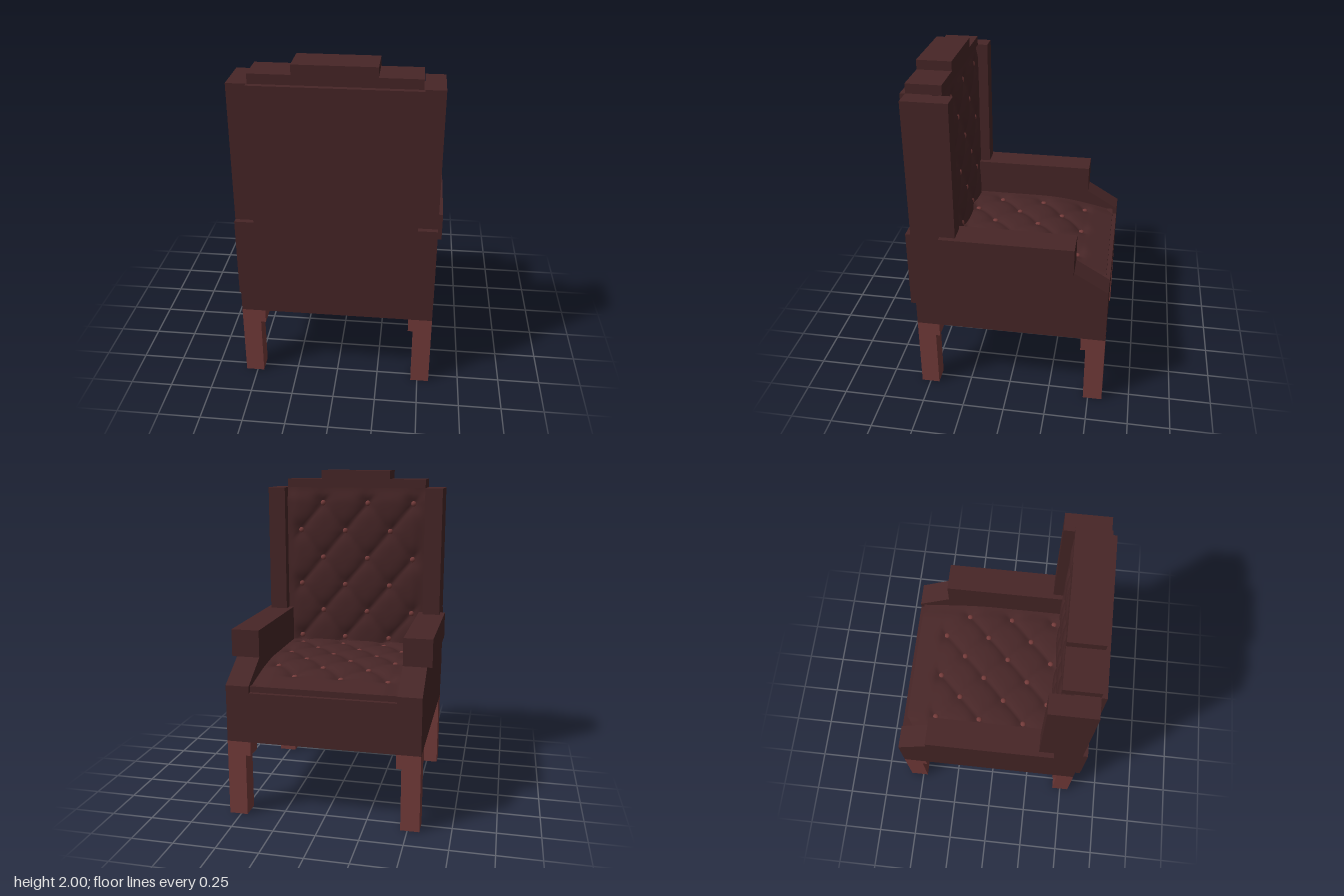
import * as THREE from 'three';

const fabric = new THREE.MeshStandardMaterial({ color: 0x472627 });
fabric.name = 'dark maroon upholstery';
const wood = new THREE.MeshStandardMaterial({ color: 0x743b3a });
wood.name = 'red brown wood';

// Box given by its min and max on each axis
function box(parent, name, mat, [x0, x1], [y0, y1], [z0, z1]) {
  const mesh = new THREE.Mesh(new THREE.BoxGeometry(x1 - x0, y1 - y0, z1 - z0), mat);
  mesh.position.set((x0 + x1) / 2, (y0 + y1) / 2, (z0 + z1) / 2);
  mesh.name = name;
  parent.add(mesh);
  return mesh;
}

// Same box on both sides of x = 0
function pair(parent, name, mat, [x0, x1], ys, zs) {
  box(parent, name + 'Left', mat, [x0, x1], ys, zs);
  box(parent, name + 'Right', mat, [-x1, -x0], ys, zs);
}

// Button lattice in cell units: six staggered rows of three
const buttons = [];
for (let row = 0; row < 6; row++) {
  for (let i = 0; i < 3; i++) buttons.push([(row % 2 ? -2.43 : -1.5) + 2 * i + (row % 2 ? 0.0 : 0.03), row]);
}
// Keep the columns exactly one cell apart
buttons.forEach((b) => { b[0] = Math.round(b[0] + 0.47) - 0.47; });

const fade = (t) => THREE.MathUtils.smoothstep(t, 0, 1);

// Tufted relief: creases along the diamonds, dimples at the buttons
function tuft(c, r) {
  const a = (c + 0.47 + r) / 2 + 0.5, b = (c + 0.47 - r) / 2 + 0.5;
  const da = Math.abs(a - Math.round(a)), db = Math.abs(b - Math.round(b));
  const mask = fade((2.95 - Math.abs(c - 0.03)) / 0.5) * fade((r + 0.4) / 0.4) * fade((5.4 - r) / 0.4);
  let h = -0.016 * mask * Math.max(Math.exp(-da * 7), Math.exp(-db * 7));
  for (const [bc, br] of buttons) h -= 0.014 * Math.exp(-((c - bc) ** 2 + (r - br) ** 2) * 9);
  return h;
}

// Cushion surface in its own x / y plane, bulging along +z, with its buttons
function cushion(name, width, y0, y1, cellX, cellY, rowY, base) {
  const group = new THREE.Group();
  group.name = name;
  const height = (x, y) => base(x, y) + tuft(x / cellX, (y - rowY) / cellY);
  const geo = new THREE.PlaneGeometry(width, y1 - y0, 56, 64);
  geo.translate(0, (y0 + y1) / 2, 0);
  const p = geo.attributes.position;
  for (let i = 0; i < p.count; i++) p.setZ(i, height(p.getX(i), p.getY(i)));
  geo.computeVertexNormals();
  const surface = new THREE.Mesh(geo, fabric);
  surface.name = name + 'Surface';
  group.add(surface);
  const ball = new THREE.SphereGeometry(0.018, 12, 8);
  for (const [c, r] of buttons) {
    const x = c * cellX, y = rowY + r * cellY;
    const button = new THREE.Mesh(ball, wood);
    button.name = 'button';
    button.position.set(x, y, height(x, y) + 0.003);
    button.scale.z = 0.7;
    group.add(button);
  }
  return group;
}

export function createModel() {
  const chair = new THREE.Group();
  chair.name = 'armchair';

  // Legs with an L-shaped corner bracket
  for (const [end, z0, z1, b0, b1] of [['back', 0.445, 0.555, 0.42, 0.445], ['front', -0.585, -0.47, -0.47, -0.44]]) {
    pair(chair, end + 'Leg', wood, [0.46, 0.57], [0, 0.46], [z0, z1]);
    pair(chair, end + 'LegSideBracket', wood, [0.43, 0.46], [0.375, 0.46], [z0, z1]);
    pair(chair, end + 'LegInnerBracket', wood, [0.46, 0.57], [0.375, 0.46], [b0, b1]);
  }

  // Side panels with a sloping front, extruded across x
  const side = new THREE.Shape([
    [0.585, 0.46], [0.585, 0.8], [0.385, 0.92], [0.385, 1.0], [-0.385, 1.0],
    [-0.385, 1.085], [-0.555, 1.085], [-0.555, 0.46],
  ].map(([x, y]) => new THREE.Vector2(x, y)));
  const sideGeo = new THREE.ExtrudeGeometry(side, { depth: 0.14, bevelEnabled: false });
  sideGeo.rotateY(Math.PI / 2);
  for (const [name, x] of [['sidePanelLeft', 0.43], ['sidePanelRight', -0.57]]) {
    const panel = new THREE.Mesh(sideGeo, fabric);
    panel.name = name;
    panel.position.x = x;
    chair.add(panel);
  }
  pair(chair, 'armrest', fabric, [0.43, 0.6], [0.92, 1.085], [-0.385, 0.385]);

  // Seat base and tufted seat
  box(chair, 'seatBase', fabric, [-0.43, 0.43], [0.46, 0.76], [-0.585, 0.555]);
  box(chair, 'seatCushionFront', fabric, [-0.43, 0.43], [0.76, 0.795], [-0.56, -0.5]);
  const seat = cushion('seatCushion', 0.86, -0.4, 0.56, 0.14, 0.14, -0.325,
    (x, y) => 0.797 + 0.075 * Math.sin(Math.min(1, (0.56 - y) / 0.5) * Math.PI / 2)
      - 0.012 * fade((Math.abs(x) - 0.33) / 0.1));
  seat.rotation.x = -Math.PI / 2;
  chair.add(seat);

  // Backrest core, rear panels, wings and stepped crest
  box(chair, 'backCore', fabric, [-0.46, 0.46], [0.76, 1.89], [0.42, 0.555]);
  box(chair, 'rearPanelLower', fabric, [-0.57, 0.57], [0.605, 1.085], [0.555, 0.585]);
  box(chair, 'rearPanelUpper', fabric, [-0.46, 0.46], [1.085, 1.89], [0.555, 0.585]);
  pair(chair, 'wing', fabric, [0.46, 0.57], [1.085, 1.89], [0.295, 0.555]);
  box(chair, 'crestLower', fabric, [-0.455, 0.455], [1.89, 1.945], [0.355, 0.555]);
  box(chair, 'crestUpper', fabric, [-0.225, 0.225], [1.945, 2], [0.355, 0.555]);

  // Tufted back, turned to face the seat
  const back = cushion('backCushion', 0.92, 0.78, 1.89, 0.15, -0.18, 1.79,
    (x, y) => 0.013 - 0.015 * fade((y - 1.8) / 0.09) - 0.01 * fade((Math.abs(x) - 0.38) / 0.08));
  back.rotation.y = Math.PI;
  back.position.z = 0.36;
  chair.add(back);

  return chair;
}
